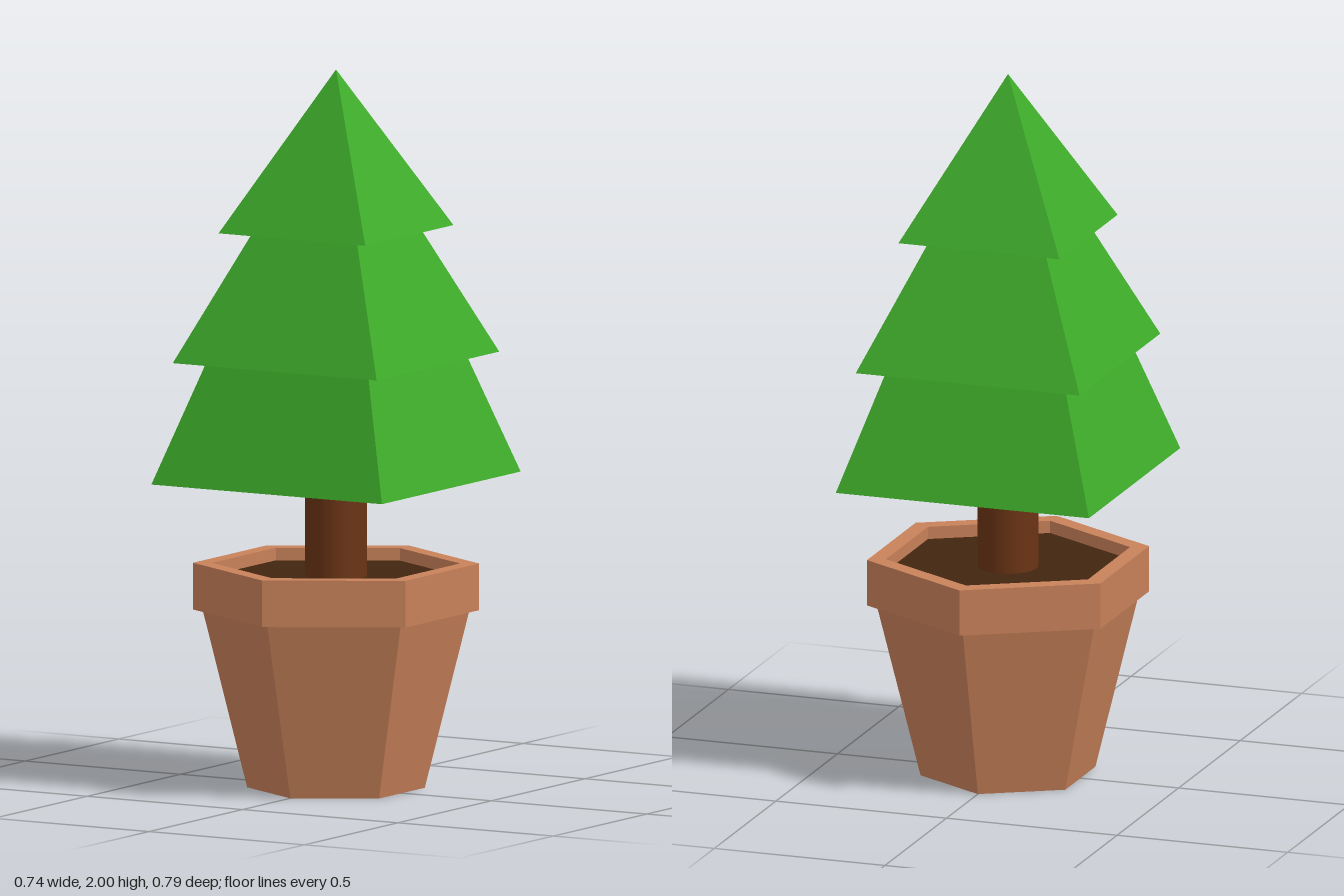
import * as THREE from 'three';

const flat = (color) => new THREE.MeshStandardMaterial({ color, flatShading: true });

function add(parent, name, geometry, material, y = 0) {
  const mesh = new THREE.Mesh(geometry, material);
  mesh.name = name;
  mesh.position.y = y;
  parent.add(mesh);
  return mesh;
}

export function createModel() {
  const model = new THREE.Group();
  model.name = 'pottedTree';

  // Hexagonal pot with an overhanging rim and inner lip, corners on the z axis
  const profile = [
    [0, 0], [0.245, 0], [0.368, 0.495], [0.395, 0.495],
    [0.395, 0.625], [0.342, 0.625], [0.342, 0.585],
  ].map(([r, y]) => new THREE.Vector2(r, y));
  add(model, 'pot', new THREE.LatheGeometry(profile, 6), flat(0xc8815a));

  // Soil filling the pot just below the rim
  const soil = new THREE.CircleGeometry(0.342, 6, Math.PI / 2).rotateX(-Math.PI / 2);
  add(model, 'soil', soil, flat(0x42260f), 0.59);

  // Round trunk
  add(model, 'trunk', new THREE.CylinderGeometry(0.085, 0.085, 0.28, 24),
    new THREE.MeshStandardMaterial({ color: 0x6b3414 }), 0.725);

  // Foliage: three stacked square tiers [bottom y, top y, bottom half width, top half width]
  const leaves = flat(0x3eac2a);
  const foliage = new THREE.Group();
  foliage.name = 'foliage';
  model.add(foliage);
  const tiers = [
    ['lowerTier', 0.862, 1.198, 0.371, 0.26],
    ['middleTier', 1.198, 1.555, 0.328, 0.167],
    ['topTier', 1.555, 2, 0.236, 0],
  ];
  for (const [name, y0, y1, bottom, top] of tiers) {
    const geometry = new THREE.CylinderGeometry(
      top * Math.SQRT2, bottom * Math.SQRT2, y1 - y0, 4).rotateY(Math.PI / 4);
    add(foliage, name, geometry, leaves, (y0 + y1) / 2);
  }
  return model;
}
